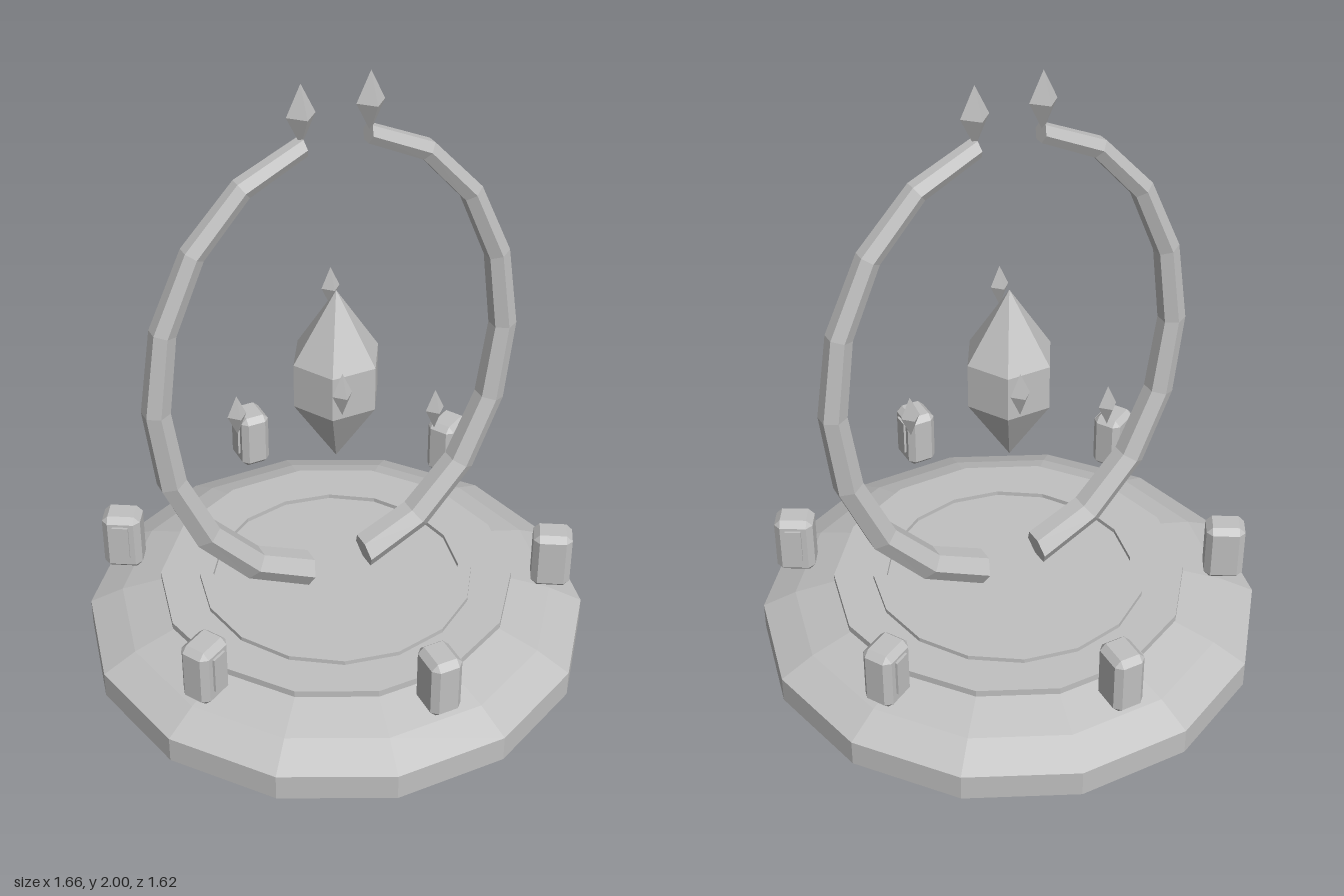
import * as THREE from 'three';
import { ConvexGeometry } from 'three/addons/geometries/ConvexGeometry.js';

const stone = new THREE.MeshStandardMaterial({ color: 0xc0c0c0, flatShading: true });
stone.name = 'grey stone';

function add(parent, name, geometry, x = 0, y = 0, z = 0) {
  const mesh = new THREE.Mesh(geometry, stone);
  mesh.name = name;
  mesh.position.set(x, y, z);
  parent.add(mesh);
  return mesh;
}

// Faceted solid of revolution with a corner on the x axis
function turned(profile, sides) {
  const points = profile.map(([r, y]) => new THREE.Vector2(r, y));
  return new THREE.LatheGeometry(points, sides, Math.PI / 2);
}

// Four-sided double pyramid
const shard = (r, h) => new THREE.OctahedronGeometry(1, 0).scale(r, h, r);

// Box with every edge and corner cut off
function chamferedBox(w, h, d, c) {
  const points = [];
  for (const sx of [-1, 1]) for (const sy of [-1, 1]) for (const sz of [-1, 1]) {
    for (let axis = 0; axis < 3; axis++) {
      const p = [w / 2, h / 2, d / 2].map((v, i) => (i === axis ? v : v - c));
      points.push(new THREE.Vector3(sx * p[0], sy * p[1], sz * p[2]));
    }
  }
  return new ConvexGeometry(points);
}

// Tapering hexagonal beam swept along an elliptical arc, with closed ends
function archGeometry() {
  const steps = 8, sides = 6, rx = 0.595, ry = 0.78;
  const position = [], index = [];
  for (let i = 0; i <= steps; i++) {
    const t = THREE.MathUtils.degToRad(-80 + i * 20);
    const radius = THREE.MathUtils.lerp(0.058, 0.032, i / steps);
    const normal = new THREE.Vector2(ry * Math.cos(t), rx * Math.sin(t)).normalize();
    for (let j = 0; j < sides; j++) {
      const a = (j / sides) * Math.PI * 2;
      const out = radius * Math.sin(a);
      position.push(rx * Math.cos(t) + out * normal.x, 1.04 + ry * Math.sin(t) + out * normal.y, radius * Math.cos(a));
      if (i < steps) {
        const k = (j + 1) % sides, p = i * sides, q = p + sides;
        index.push(p + j, p + k, q + k, p + j, q + k, q + j);
      }
    }
  }
  const end = steps * sides;
  for (let j = 1; j < sides - 1; j++) {
    index.push(0, j + 1, j, end, end + j, end + j + 1);
  }
  const geometry = new THREE.BufferGeometry();
  geometry.setAttribute('position', new THREE.Float32BufferAttribute(position, 3));
  geometry.setIndex(index);
  geometry.computeVertexNormals();
  return geometry;
}

export function createModel() {
  const model = new THREE.Group();
  model.name = 'crystalShrine';

  // Stepped base
  add(model, 'base', turned([
    [0, 0], [0.83, 0], [0.83, 0.09], [0.72, 0.145], [0.57, 0.192],
    [0.587, 0.192], [0.587, 0.215], [0, 0.215],
  ], 14));
  add(model, 'inlaidRing', turned([
    [0.41, 0.21], [0.455, 0.21], [0.455, 0.23], [0.41, 0.23], [0.41, 0.21],
  ], 16));

  // Pair of curved arms, each tipped with a crystal
  const arch = archGeometry();
  const tip = shard(0.046, 0.095);
  for (const [side, sign] of [['left', 1], ['right', -1]]) {
    add(model, side + 'Arm', arch).rotation.y = sign > 0 ? 0 : Math.PI;
    add(model, side + 'ArmCrystal', tip, sign * 0.11, 1.905, 0);
  }

  // Floating central crystal
  add(model, 'centralCrystal', turned([[0, 0.7], [0.145, 0.93], [0.145, 1.08], [0, 1.31]], 6));

  // Small shards circling the crystal at alternating heights
  const chip = shard(0.032, 0.072);
  for (let i = 0; i < 4; i++) {
    const a = THREE.MathUtils.degToRad(22.6 + i * 90);
    add(model, 'orbitingShard', chip, 0.312 * Math.cos(a), i % 2 ? 1.14 : 0.865, 0.312 * Math.sin(a));
  }

  // Ring of hovering blocks with a raised panel on one side
  const block = chamferedBox(0.104, 0.204, 0.127, 0.02);
  const panel = new THREE.BoxGeometry(0.02, 0.125, 0.053);
  for (let i = 0; i < 6; i++) {
    const a = (i * Math.PI) / 3;
    const group = new THREE.Group();
    group.name = 'hoveringBlock';
    group.position.set(0.71 * Math.sin(a), 0.332, 0.71 * Math.cos(a));
    group.rotation.y = a;
    add(group, 'block', block);
    add(group, 'blockPanel', panel, 0.05, 0.01, 0);
    model.add(group);
  }
  return model;
}
